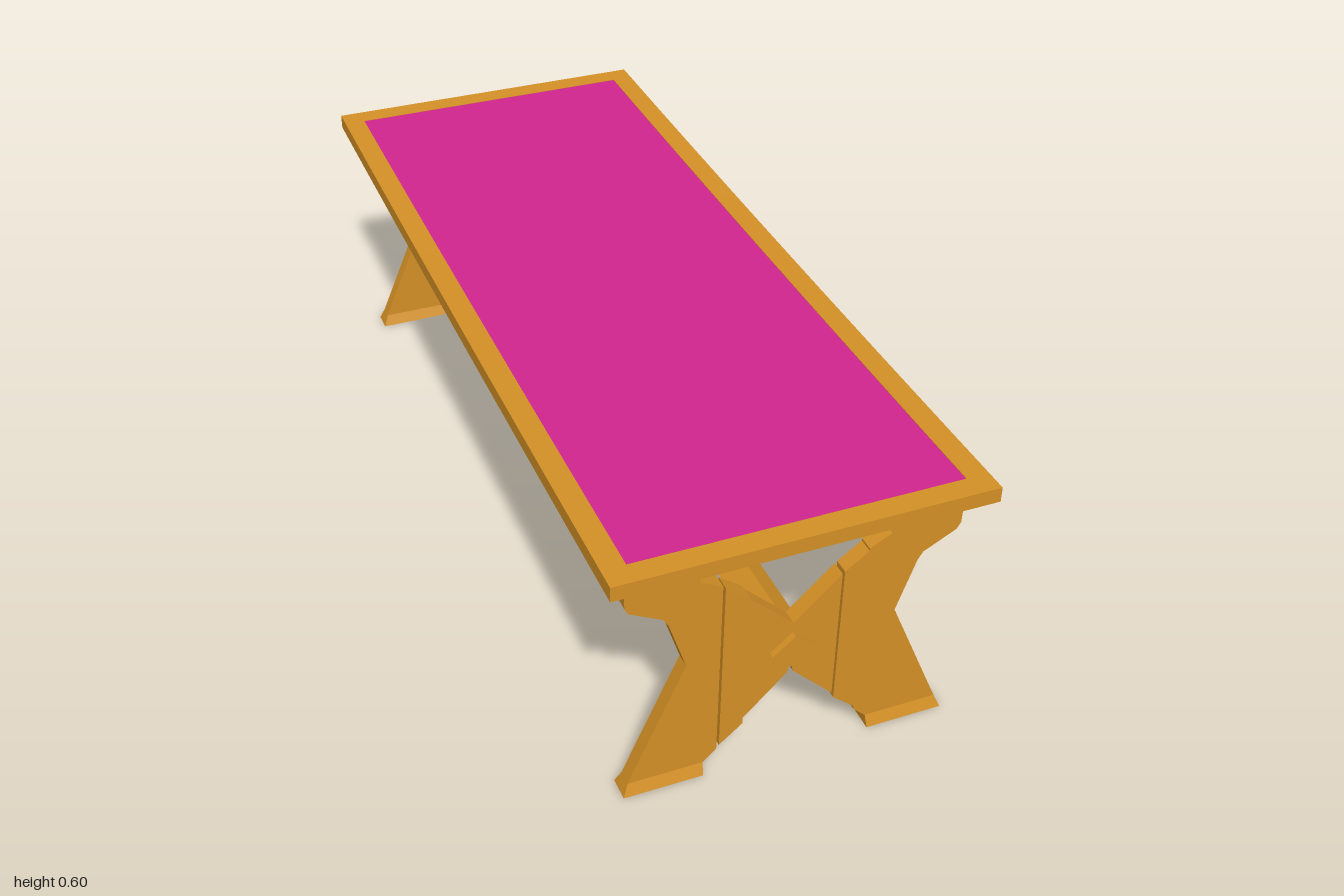
import * as THREE from 'three';

const wood = new THREE.MeshStandardMaterial({ color: 0xd49026, flatShading: true });
const cloth = new THREE.MeshStandardMaterial({ color: 0xd0258e, flatShading: true });

function add(parent, name, geometry, material = wood) {
  const mesh = new THREE.Mesh(geometry, material);
  mesh.name = name;
  parent.add(mesh);
  return mesh;
}

// Box from min to max corners that dips slightly toward the middle of the table
function saggingBox([x0, y0, z0], [x1, y1, z1]) {
  const g = new THREE.BoxGeometry(x1 - x0, y1 - y0, z1 - z0, 1, 1, 8);
  g.translate((x0 + x1) / 2, (y0 + y1) / 2, (z0 + z1) / 2);
  const p = g.attributes.position;
  for (let i = 0; i < p.count; i++) {
    const t = Math.min(1, Math.abs(p.getZ(i)));
    p.setY(i, p.getY(i) - 0.007 * (1 - t * t));
  }
  g.computeVertexNormals();
  return g;
}

// Flat plank with the given outline, centred on z; side = -1 mirrors it in x
function plank(points, depth, side = 1) {
  const shape = new THREE.Shape(points.map(([x, y]) => new THREE.Vector2(x * side, y)));
  const g = new THREE.ExtrudeGeometry(shape, { depth, bevelEnabled: false });
  return g.translate(0, 0, -depth / 2);
}

const outerPlank = [
  [0.355, 0.571], [0.353, 0.495], [0.345, 0.48], [0.275, 0.443], [0.264, 0.425], [0.225, 0.307],
  [0.345, 0.028], [0.183, 0.028], [0.154, 0.056], [0.154, 0.487], [0.2, 0.512], [0.208, 0.525], [0.208, 0.571],
];
const foot = [[0.345, 0.028], [0.357, 0], [0.185, 0], [0.183, 0.028]];
const middlePlank = [[0.151, 0.486], [0.101, 0.449], [0.101, 0.113], [0.151, 0.07]];
const centrePlank = [
  [0.099, 0.44], [0, 0.345], [-0.099, 0.44], [-0.099, 0.122],
  [-0.007, 0.215], [0, 0.238], [0.007, 0.215], [0.099, 0.122],
];

function trestle() {
  const group = new THREE.Group();
  for (const side of [1, -1]) {
    const label = side > 0 ? 'left' : 'right';
    add(group, label + 'OuterPlank', plank(outerPlank, 0.034, side));
    add(group, label + 'MiddlePlank', plank(middlePlank, 0.034, side)).position.z = 0.005;

    // Foot widens toward the floor
    const g = plank(foot, 0.034, side);
    const p = g.attributes.position;
    for (let i = 0; i < p.count; i++) {
      if (p.getY(i) < 0.01) p.setZ(i, p.getZ(i) * 1.55);
    }
    g.computeVertexNormals();
    add(group, label + 'Foot', g);
  }
  add(group, 'centrePlank', plank(centrePlank, 0.034));
  return group;
}

export function createModel() {
  const table = new THREE.Group();
  table.name = 'trestleTable';

  // Top: coloured panel in a wooden frame
  add(table, 'topPanel', saggingBox([-0.35, 0.573, -0.952], [0.35, 0.603, 0.952]), cloth);
  for (const side of [1, -1]) {
    const x = [0.35 * side, 0.4 * side].sort((a, b) => a - b);
    add(table, side > 0 ? 'leftFrameBoard' : 'rightFrameBoard',
      saggingBox([x[0], 0.57, -1], [x[1], 0.604, 1]));
    const z = [0.95 * side, side].sort((a, b) => a - b);
    add(table, side > 0 ? 'frontFrameBoard' : 'backFrameBoard',
      saggingBox([-0.35, 0.57, z[0]], [0.35, 0.604, z[1]]));

    // Rail under the top, between the trestles
    add(table, side > 0 ? 'leftRail' : 'rightRail', new THREE.BoxGeometry(0.03, 0.066, 1.81))
      .position.set(0.318 * side, 0.538, 0.005);
  }

  // Trestles at both ends
  for (const [name, z] of [['frontTrestle', 0.932], ['backTrestle', -0.914]]) {
    const legs = trestle();
    legs.name = name;
    legs.position.z = z;
    table.add(legs);
  }

  // Diamond-section stretcher through both trestles
  add(table, 'stretcher', plank([[0.047, 0.281], [0, 0.321], [-0.047, 0.281], [0, 0.239]], 1.935))
    .position.z = -0.005;

  return table;
}
